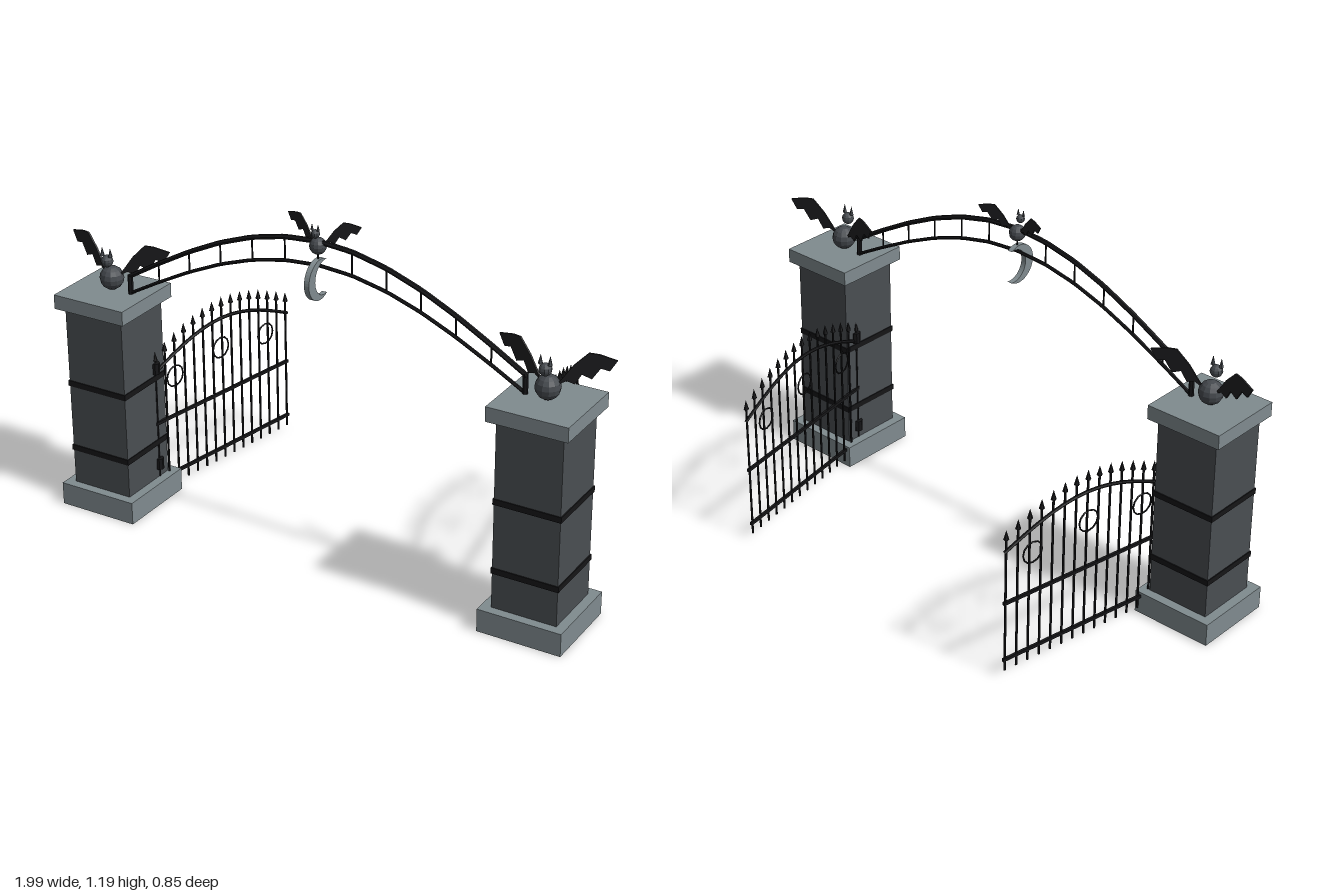
import * as THREE from 'three';

const mat = (name, color) => {
  const m = new THREE.MeshStandardMaterial({ color, flatShading: true });
  m.name = name;
  return m;
};

export function createModel() {
  const stone = mat('dark stone', 0x4a4e52);
  const trim = mat('pale stone', 0x808b8f);
  const iron = mat('black iron', 0x151517);
  const hide = mat('bat grey', 0x45494e);
  const wingSkin = mat('wing black', 0x1e1e20);

  const root = new THREE.Group();
  root.name = 'gateway';
  const Z = 0.285;

  const add = (parent, name, geo, material, x = 0, y = 0, z = 0) => {
    const m = new THREE.Mesh(geo, material);
    m.name = name;
    m.position.set(x, y, z);
    parent.add(m);
    return m;
  };
  const group = (parent, name, x = 0, y = 0, z = 0) => {
    const g = new THREE.Group();
    g.name = name;
    g.position.set(x, y, z);
    parent.add(g);
    return g;
  };
  const box = (w, h, d) => new THREE.BoxGeometry(w, h, d);
  const rod = (r, h) => new THREE.CylinderGeometry(r, r, h, 6);

  // Tube whose height follows half a sine wave between x0 and x1
  const archTube = (x0, x1, low, rise, radius, segments) => {
    const path = new THREE.CurvePath();
    const point = i => {
      const t = i / segments;
      return new THREE.Vector3(x0 + (x1 - x0) * t, low + rise * Math.sin(Math.PI * t), 0);
    };
    for (let i = 0; i < segments; i++) path.add(new THREE.LineCurve3(point(i), point(i + 1)));
    return new THREE.TubeGeometry(path, segments * 4, radius, 6, false);
  };

  // Bat wing outline, s = side
  const wingPoints = [
    [0.02, 0.005], [0.04, 0.03], [0.075, 0.08], [0.118, 0.124], [0.15, 0.122], [0.204, 0.108],
    [0.182, 0.072], [0.155, 0.078], [0.13, 0.04], [0.1, 0.052], [0.08, 0.018], [0.055, 0.026],
  ];
  const wingGeometry = s => {
    const shape = new THREE.Shape(wingPoints.map(([x, y]) => new THREE.Vector2(x * s, y)));
    const geo = new THREE.ExtrudeGeometry(shape, { depth: 0.006, bevelEnabled: false });
    return geo.translate(0, 0, -0.003);
  };

  const addBat = (name, x, y, scale) => {
    const bat = group(root, name, x, y, Z);
    bat.scale.setScalar(scale);
    add(bat, 'body', new THREE.SphereGeometry(0.041, 12, 8), hide);
    add(bat, 'head', new THREE.SphereGeometry(0.021, 10, 8), hide, 0, 0.066, 0.022);
    for (const s of [-1, 1]) {
      add(bat, 'ear', new THREE.ConeGeometry(0.008, 0.032, 5), hide, s * 0.016, 0.099, 0.024);
      add(bat, 'wing', wingGeometry(s), wingSkin).rotation.y = s * 0.3;
    }
  };

  // Pillars
  for (const s of [-1, 1]) {
    const p = group(root, 'pillar', s * 0.8, 0, Z);
    add(p, 'base', box(0.29, 0.08, 0.29), trim, 0, 0.04);
    add(p, 'shaft', box(0.225, 0.65, 0.225), stone, 0, 0.405);
    add(p, 'cap', box(0.275, 0.05, 0.275), trim, 0, 0.755);
    for (const y of [0.2125, 0.454]) add(p, 'ironBand', box(0.232, 0.02, 0.232), iron, 0, y);
    addBat('pillarBat', s * 0.8, 0.822, 1);
  }

  // Overhead arch with rungs
  const arch = group(root, 'arch', 0, 0, Z);
  const span = 0.73;
  add(arch, 'upperRail', archTube(-span, span, 0.84, 0.28, 0.0085, 12), iron);
  add(arch, 'lowerRail', archTube(-span, span, 0.78, 0.26, 0.006, 12), iron);
  for (let i = 1; i < 12; i++) {
    const k = Math.sin(Math.PI * i / 12);
    const low = 0.78 + 0.26 * k, high = 0.84 + 0.28 * k;
    add(arch, 'rung', rod(0.003, high - low), iron, -span + 2 * span * i / 12, (low + high) / 2);
  }
  for (const s of [-1, 1]) add(arch, 'endPost', rod(0.009, 0.07), iron, s * 0.725, 0.812);
  addBat('archBat', 0, 1.105, 0.68);

  // Crescent hanging below the arch, standing in the side plane
  const moon = new THREE.Shape();
  const outer = Math.atan2(0.057, -0.038), inner = Math.atan2(0.057, -0.011);
  moon.absarc(0, 0, 0.068, -outer, outer, false);
  moon.absarc(-0.027, 0, 0.058, inner, -inner, true);
  const moonGeo = new THREE.ExtrudeGeometry(moon, { depth: 0.018, bevelEnabled: false, curveSegments: 16 });
  moonGeo.translate(0, 0, -0.009).rotateY(-Math.PI / 2);
  add(root, 'crescent', moonGeo, trim, 0, 0.994, 0.287);

  // Open gate leaves, built along local x from the hinge
  const step = 0.046, count = 15, len = step * (count - 1);
  for (const s of [-1, 1]) {
    const gate = group(root, 'gateLeaf', s * 0.688, 0, 0.22);
    gate.rotation.y = Math.atan2(0.984, -s * 0.177);
    const start = -0.008, end = len + 0.008;
    for (const y of [0.066, 0.281]) add(gate, 'rail', box(end - start, 0.011, 0.009), iron, len / 2, y);
    add(gate, 'curvedRail', archTube(start, end, 0.47, 0.094, 0.006, 14), iron);
    for (let i = 0; i < count; i++) {
      const x = i * step;
      const top = 0.514 + 0.096 * Math.sin(Math.PI * (x - start) / (end - start));
      add(gate, 'picket', rod(0.004, top - 0.025), iron, x, (top + 0.025) / 2);
      add(gate, 'spearTip', new THREE.ConeGeometry(0.0095, 0.034, 6), iron, x, top + 0.017);
    }
    [[-1, 0.428], [0, 0.454], [1, 0.428]].forEach(([k, y]) =>
      add(gate, 'ringOrnament', new THREE.TorusGeometry(0.038, 0.003, 5, 12), iron, len / 2 + k * 0.224 + 0.007 * -1, y));
    for (const y of [0.13, 0.49]) add(gate, 'hinge', new THREE.CylinderGeometry(0.016, 0.016, 0.04, 8), iron, 0, y);
  }

  return root;
}
